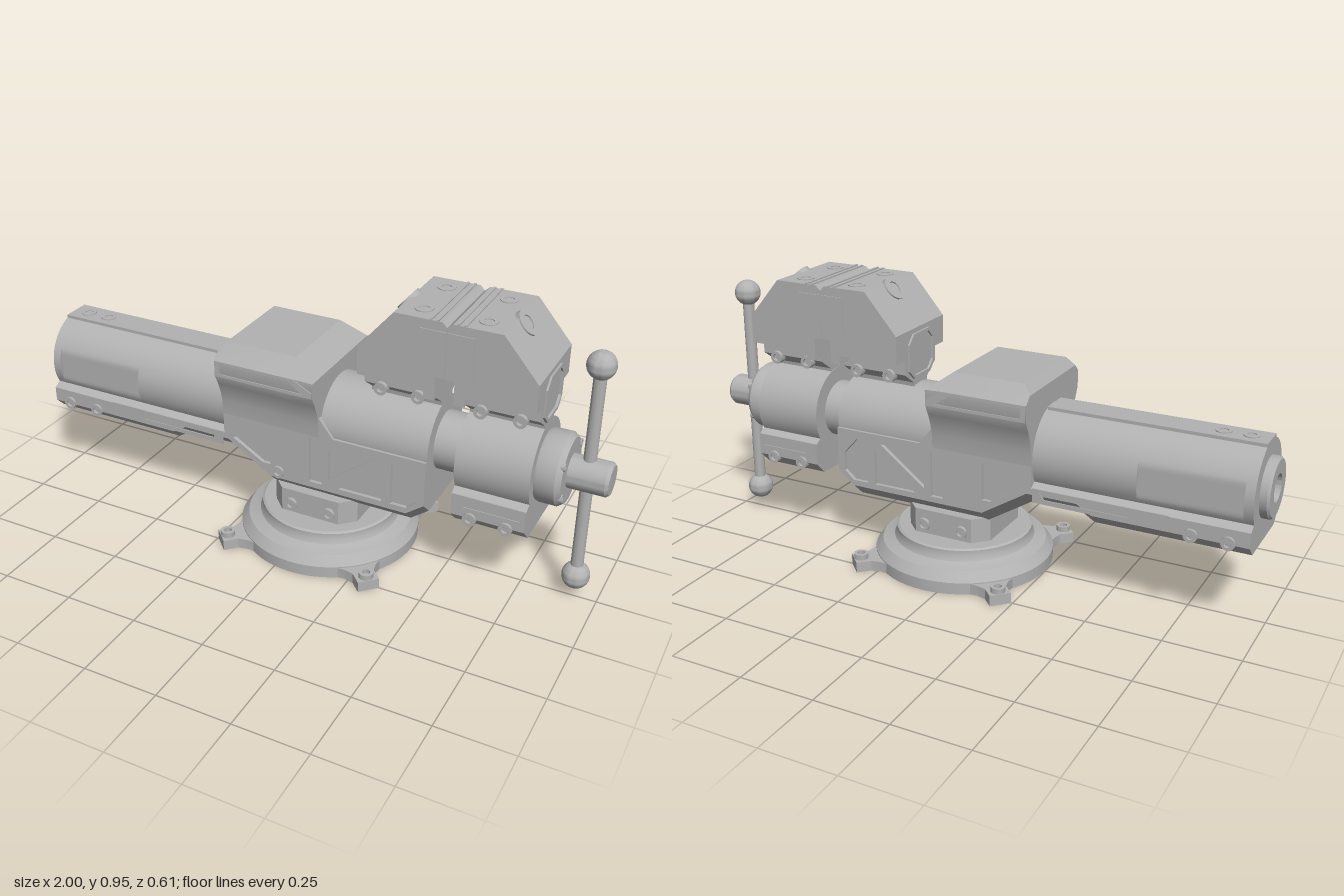
import * as THREE from 'three';
import { toCreasedNormals } from 'three/addons/utils/BufferGeometryUtils.js';

const AXIS = 0.455; // height of the spindle
const BASE_X = 0.056;
const MID = 0.506; // plane where the jaws meet

export function createModel() {
  const root = new THREE.Group();
  const steel = new THREE.MeshStandardMaterial({ color: 0xb2b2b2 });
  steel.name = 'steel grey';

  function add(name, geo, x = 0, y = 0, z = 0) {
    const m = new THREE.Mesh(toCreasedNormals(geo, 0.5), steel);
    m.name = name;
    m.position.set(x, y, z);
    root.add(m);
    return m;
  }
  const box = (name, w, h, d, x, y, z) => add(name, new THREE.BoxGeometry(w, h, d), x, y, z);
  const polygon = (pts) => pts.map(([a, b]) => new THREE.Vector2(a, b));

  function extrude(pts, depth, holes = []) {
    const s = new THREE.Shape(polygon(pts));
    holes.forEach((h) => s.holes.push(new THREE.Path(polygon(h))));
    return new THREE.ExtrudeGeometry(s, { depth, bevelEnabled: false });
  }
  // lathe around the x axis, profile given as [radius, x]
  const turnX = (pts) => new THREE.LatheGeometry(polygon(pts), 48).rotateZ(-Math.PI / 2);

  // skin between mirrored cross-sections; each station is [x, half section of [z, y]]
  function loft(stations) {
    const pos = [], idx = [];
    const rings = stations.map(([x, half]) => {
      const ring = [...half, ...half.filter((p) => p[0] > 1e-6).reverse().map(([z, y]) => [-z, y])];
      return ring.map(([z, y]) => [x, y, z]);
    });
    const n = rings[0].length, last = (rings.length - 1) * n;
    rings.forEach((r) => r.forEach((p) => pos.push(...p)));
    for (let i = 0; i < rings.length - 1; i++) {
      for (let j = 0; j < n; j++) {
        const a = i * n + j, b = i * n + (j + 1) % n;
        idx.push(a, a + n, b, b, a + n, b + n);
      }
    }
    [rings[0], rings[rings.length - 1]].forEach((r, e) => {
      const c = pos.length / 3;
      const ys = r.map((p) => p[1]);
      pos.push(r[0][0], (Math.min(...ys) + Math.max(...ys)) / 2, 0);
      for (let j = 0; j < n; j++) {
        const a = e * last + j, b = e * last + (j + 1) % n;
        idx.push(c, ...(e ? [b, a] : [a, b]));
      }
    });
    const g = new THREE.BufferGeometry();
    g.setAttribute('position', new THREE.Float32BufferAttribute(pos, 3));
    // signed volume tells which way the faces wind
    let vol = 0;
    const v = (i) => new THREE.Vector3().fromArray(pos, i * 3);
    for (let i = 0; i < idx.length; i += 3) vol += v(idx[i]).dot(v(idx[i + 1]).cross(v(idx[i + 2])));
    g.setIndex(vol < 0 ? idx.reverse() : idx);
    return g;
  }

  // socket-head bolt
  function bolt(x, y, z, dir, r = 0.022, h = 0.012) {
    const g = new THREE.LatheGeometry(polygon([[r, -0.01], [r, h], [r * 0.55, h], [r * 0.55, h * 0.2], [0, h * 0.2]]), 16);
    add('bolt', g, x, y, z).quaternion.setFromUnitVectors(new THREE.Vector3(0, 1, 0), new THREE.Vector3(...dir).normalize());
  }
  // pierced plate on both sides of the body
  function sidePlates(name, pts, holes, z, depth) {
    add(name, extrude(pts, depth, holes), 0, 0, z);
    add(name, extrude(pts, depth, holes), 0, 0, -z - depth);
  }

  // ---- swivel base
  add('base', new THREE.LatheGeometry(polygon([[0, 0], [0.305, 0], [0.305, 0.04], [0.28, 0.072], [0.255, 0.078], [0.24, 0.085],
    [0.232, 0.1], [0.232, 0.12], [0.225, 0.125], [0, 0.125]]), 64), BASE_X);
  const lug = [[0.25, -0.13], [0.31, -0.055], [0.34, -0.036], [0.39, -0.036], [0.39, 0.036], [0.34, 0.036], [0.31, 0.055], [0.25, 0.13]];
  for (let i = 0; i < 4; i++) {
    const a = Math.PI / 4 + i * Math.PI / 2;
    add('baseLug', extrude(lug, 0.036).rotateX(-Math.PI / 2), BASE_X).rotation.y = a;
    bolt(BASE_X + 0.365 * Math.cos(a), 0.036, 0.365 * Math.sin(a), [0, 1, 0], 0.024, 0.018);
  }
  const neck = [[-0.153, -0.105], [-0.105, -0.153], [0.105, -0.153], [0.153, -0.105], [0.153, 0.105], [0.105, 0.153], [-0.105, 0.153], [-0.153, 0.105]];
  add('neck', extrude(neck, 0.09).rotateX(-Math.PI / 2), BASE_X, 0.12);
  for (const s of [1, -1]) for (const x of [-0.013, 0.127]) bolt(x, 0.158, s * 0.153, [0, 0, s]);

  // ---- fixed body with ribbed side plates
  const trough = (b) => [[0.143, 0.446], [0.143, b + 0.05], [0.156, b + 0.045], [0.108, b]];
  add('bodyCore', loft([[-0.265, trough(0.31)], [-0.09, trough(0.2)], [0.4, trough(0.2)], [0.46, trough(0.245)]]));
  sidePlates('bodyRibs',
    [[-0.265, 0.355], [-0.09, 0.245], [0.4, 0.245], [0.46, 0.29], [0.46, 0.446], [0.14, 0.446], [0.09, 0.51], [-0.265, 0.51]],
    [[[-0.23, 0.355], [-0.12, 0.29], [-0.09, 0.29], [-0.09, 0.42], [-0.12, 0.42]],
      [[0.055, 0.265], [0.1, 0.265], [0.1, 0.42], [0.055, 0.43]],
      [[0.125, 0.29], [0.29, 0.415], [0.15, 0.415], [0.125, 0.4]],
      [[0.16, 0.265], [0.315, 0.265], [0.315, 0.39]],
      [[0.345, 0.265], [0.4, 0.265], [0.435, 0.295], [0.435, 0.36], [0.385, 0.415], [0.345, 0.415]]],
    0.14, 0.016);
  bolt(-0.06, 0.27, 0.153, [0, 0, 1]);

  // ---- anvil
  const anvil = (top, w) => [[w, top], [0.2, Math.min(top, 0.655)], [0.2, 0.6], [0.183, 0.565], [0.169, 0.53], [0.16, 0.49], [0.156, 0.44]];
  add('anvil', loft([[-0.265, anvil(0.68, 0.175)], [-0.24, anvil(0.71, 0.155)], [0.01, anvil(0.71, 0.155)], [0.09, anvil(0.652, 0.195)]]));
  sidePlates('anvilSlot', [[-0.262, 0.6], [0.088, 0.6], [0.088, 0.62], [0.02, 0.655], [-0.262, 0.655]],
    [[[-0.245, 0.61], [0.055, 0.61], [0.0, 0.645], [-0.245, 0.645]]], 0.198, 0.005);

  // ---- tubes: round top on a squared lower rail
  function tubeSection(bottom, flat = 1, chamfer = 0.035) {
    const half = [];
    for (let i = 0; i <= 24; i++) {
      const a = Math.PI / 2 - (i / 24) * (Math.PI * 2 / 3);
      half.push([i ? Math.min(0.15 * Math.cos(a), flat) : 0, AXIS + 0.15 * Math.sin(a)]);
    }
    return [...half, [0.156, 0.365], [0.156, bottom + chamfer], [0.156 - chamfer, bottom]];
  }
  add('slideTube', loft([[-0.97, tubeSection(0.28)], [-0.94, tubeSection(0.28)], [-0.94, tubeSection(0.28, 0.139)],
    [-0.61, tubeSection(0.28, 0.139)], [-0.61, tubeSection(0.28)], [-0.47, tubeSection(0.28)],
    [-0.42, tubeSection(0.31)], [-0.25, tubeSection(0.31)]]));
  box('topKey', 0.7, 0.02, 0.1, -0.62, 0.597, 0);
  for (const x of [-0.91, -0.825]) bolt(x, 0.602, 0, [0, 1, 0], 0.026, 0.008);
  for (const s of [1, -1]) for (const x of [-0.905, -0.79]) bolt(x, 0.32, s * 0.153, [0, 0, s]);
  sidePlates('railSlot', [[-0.72, 0.32], [-0.27, 0.32], [-0.27, 0.368], [-0.72, 0.368]],
    [[[-0.59, 0.335], [-0.31, 0.335], [-0.295, 0.358], [-0.59, 0.358]]], 0.154, 0.004);
  add('rearCap', turnX([[0, -0.975], [0.045, -0.975], [0.045, -1], [0.09, -1], [0.097, -0.993], [0.097, -0.96]].reverse().map(([r, x]) => [r, -x])))
    .rotation.y = Math.PI;
  add('frontTube', turnX([[0, -0.26], [0.147, -0.26], [0.147, 0.46], [0, 0.46]]), 0, AXIS);
  add('slideShaft', turnX([[0, 0.4], [0.097, 0.4], [0.097, 0.6], [0, 0.6]]), 0, AXIS);
  root.children.find((m) => m.name === 'rearCap').position.y = AXIS;

  // ---- moving collar
  add('collar', loft([[0.55, tubeSection(0.25, 1, 0.042)], [0.79, tubeSection(0.25, 1, 0.042)]]));
  sidePlates('collarSlot', [[0.552, 0.315], [0.788, 0.315], [0.788, 0.368], [0.552, 0.368]],
    [[[0.59, 0.328], [0.775, 0.328], [0.775, 0.355], [0.61, 0.355]]], 0.154, 0.005);
  for (const s of [1, -1]) for (const x of [0.613, 0.73]) bolt(x, 0.29, s * 0.153, [0, 0, s]);

  // ---- jaws, mirrored about their meeting plane
  const jaw = [[0.22, 0.7], [0.475, 0.67], [0.475, 0.783], [0.486, 0.783], [0.486, 0.842], [0.505, 0.85],
    [0.505, 0.915], [0.49, 0.93], [0.335, 0.93], [0.22, 0.795]];
  jaw.splice(1, 0, [0.44, 0.7], [0.44, 0.67]);
  const foot = [[-0.04, 0.58], [0.04, 0.58], [0.045, 0.61], [0.1, 0.65], [0.1, 0.705], [-0.1, 0.705], [-0.1, 0.65], [-0.045, 0.61]];
  const octagon = (h, w, c) => [[-w, -h + c], [-w + c, -h], [w - c, -h], [w, -h + c], [w, h - c], [w - c, h], [-w + c, h], [-w, h - c]];
  const slope = Math.atan2(0.135, 0.115);
  for (const side of [-1, 1]) {
    const mx = (x) => (side < 0 ? x : 2 * MID - x);
    const pts = jaw.map(([x, y]) => [mx(x), y]);
    add('jaw', extrude(pts, 0.308), 0, 0, -0.154);
    add('jawFoot', extrude(foot, 0.238).rotateY(Math.PI / 2), side < 0 ? 0.222 : 0.552);
    // jaw insert on each flank and grip ridge on top
    for (const s of [1, -1]) {
      box('jawInsert', 0.084, 0.15, 0.004, mx(0.463), 0.825, s * 0.155);
      for (const x of [0.28, 0.405]) bolt(mx(x), 0.642, s * 0.098, [0, 0, s], 0.022, 0.015);
      bolt(mx(0.405), 0.928, s * 0.088, [0, 1, 0], 0.029, 0.005);
    }
    for (const x of [0.452, 0.474]) box('gripRidge', 0.008, 0.006, 0.306, mx(x), 0.931, 0);
    // octagonal rim on the outer face
    const rim = extrude(octagon(0.077, 0.082, 0.032), 0.008, [octagon(0.066, 0.071, 0.027)]);
    add('jawRim', rim.rotateY(Math.PI / 2), side < 0 ? 0.213 : 0.79, 0.702);
    // clamping screw set at the top of the sloped face
    bolt(mx(0.318), 0.909, 0, [side * Math.sin(slope), Math.cos(slope), 0], 0.043, 0.006);
  }

  // ---- spindle nose, knob and handle
  add('flange', turnX([[0, 0.78], [0.11, 0.78], [0.118, 0.8], [0.118, 0.855], [0.105, 0.872], [0, 0.872]]), 0, AXIS);
  for (let i = 0; i < 4; i++) {
    const a = (i < 2 ? 0.58 : Math.PI + 0.58) - (i % 2) * 1.16;
    bolt(0.868, AXIS + 0.1 * Math.sin(a), 0.1 * Math.cos(a), [1, 0, 0], 0.013, 0.008);
  }
  add('knob', turnX([[0, 0.86], [0.055, 0.86], [0.055, 0.99], [0.048, 1], [0, 1]]), 0, AXIS);
  add('handle', new THREE.CylinderGeometry(0.02, 0.02, 0.74, 24), 0.925, AXIS);
  for (const y of [0.083, 0.825]) add('handleBall', new THREE.SphereGeometry(0.045, 32, 20), 0.925, y);

  return root;
}
